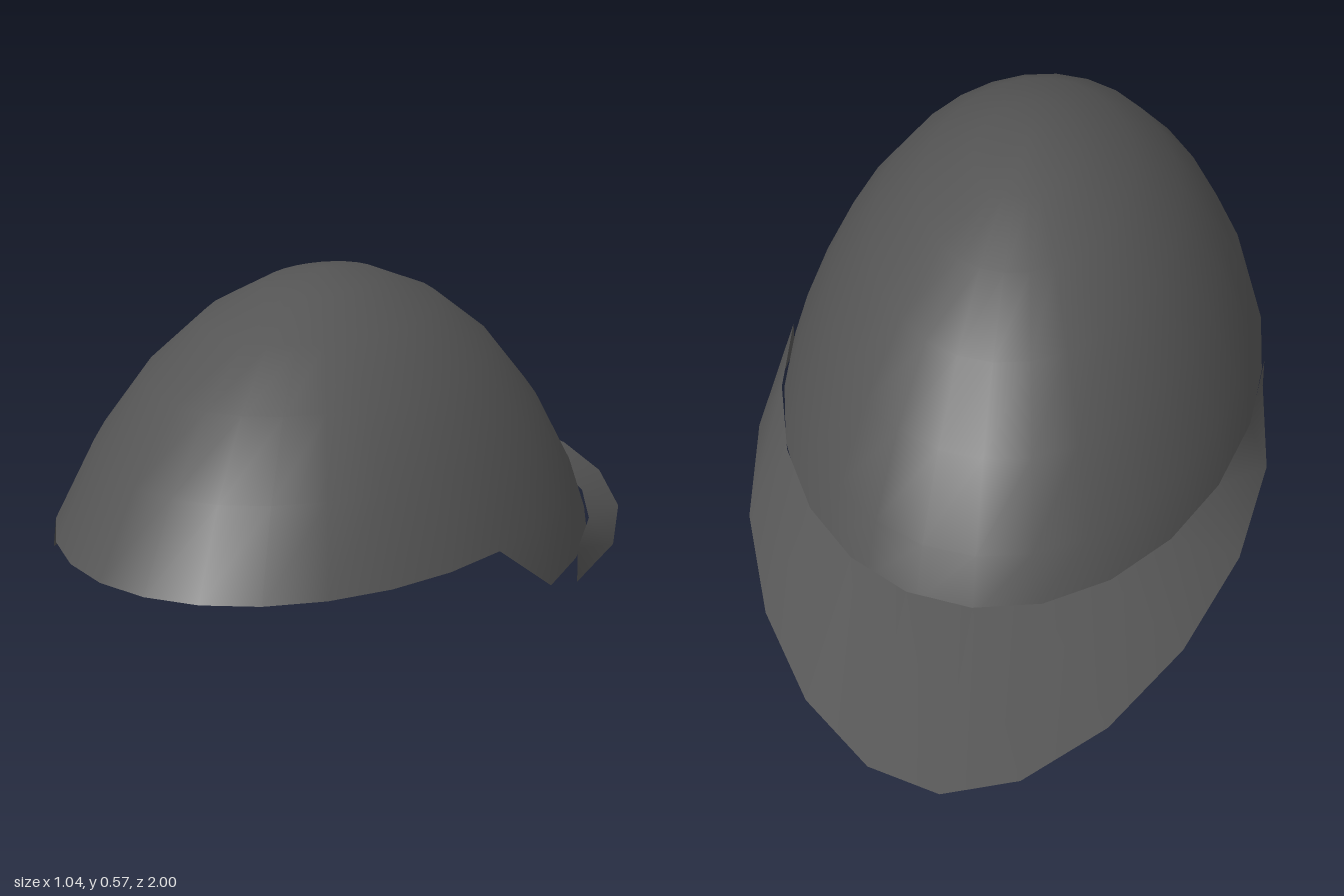
import * as THREE from 'three';

const material = new THREE.MeshStandardMaterial({ color: 0x555555, side: THREE.DoubleSide });

function makeMesh(name, positions, indices) {
  const geometry = new THREE.BufferGeometry();
  geometry.setAttribute('position', new THREE.Float32BufferAttribute(positions, 3));
  geometry.setIndex(indices);
  geometry.computeVertexNormals();
  const mesh = new THREE.Mesh(geometry, material);
  mesh.name = name;
  return mesh;
}

// Open crown: elliptical rings below an apex, with the lowest band cut away at the front
function makeCrown() {
  const segments = 28, centreZ = 0.23, stretch = 1.66;
  const rings = [[0.106, 0.555], [0.212, 0.5], [0.31, 0.41], [0.395, 0.29], [0.462, 0.148], [0.493, 0.045]];
  const positions = [0, 0.575, centreZ], indices = [];
  for (const [radius, y] of rings) {
    for (let j = 0; j < segments; j++) {
      const a = (j / segments) * Math.PI * 2;
      positions.push(radius * Math.cos(a), y, centreZ + stretch * radius * Math.sin(a));
    }
  }
  const at = (ring, j) => 1 + ring * segments + (j % segments);
  const last = rings.length - 1;
  for (let j = 0; j < segments; j++) {
    indices.push(0, at(0, j + 1), at(0, j));
    for (let i = 0; i < last; i++) {
      const a = at(i, j), b = at(i, j + 1), c = at(i + 1, j), d = at(i + 1, j + 1);
      const lowest = i === last - 1;
      if (lowest && j > 1 && j < 12) continue; // raised front opening
      if (lowest && j === 1) indices.push(a, b, c); // sloped ends of the opening
      else if (lowest && j === 12) indices.push(a, b, d);
      else indices.push(a, b, d, a, d, c);
    }
  }
  return makeMesh('crown', positions, indices);
}

// Thin brim sloping down from the crown to a pointed oval outline
function makeBrim() {
  const half = [[0.497, 0.235], [0.52, -0.03], [0.483, -0.31], [0.396, -0.58], [0.277, -0.8], [0.137, -0.95]];
  const outer = [...half, [0, -1], ...half.map(([x, z]) => [-x, z]).reverse()];
  const positions = [], indices = [];
  outer.forEach(([x, z], i) => {
    const a = (i / (outer.length - 1)) * Math.PI;
    positions.push(0.497 * Math.cos(a), 0.065, 0.235 - 0.822 * Math.sin(a), x, 0, z);
    if (i < outer.length - 1) {
      const k = i * 2;
      indices.push(k, k + 1, k + 3, k, k + 3, k + 2);
    }
  });
  return makeMesh('brim', positions, indices);
}

export function createModel() {
  const group = new THREE.Group();
  group.name = 'cap';
  group.add(makeCrown(), makeBrim());
  return group;
}
